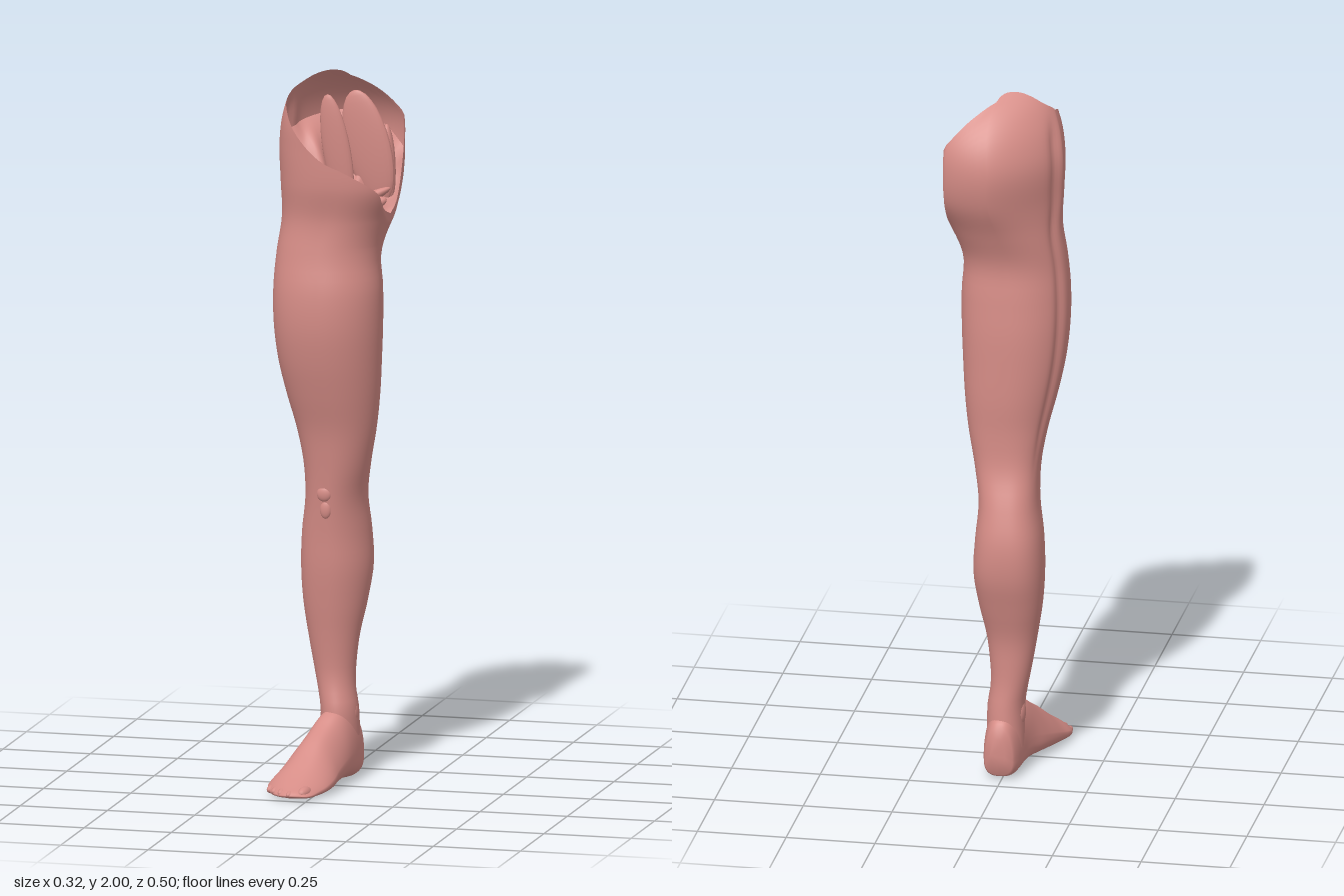
import * as THREE from 'three';

const V = (x, y, z) => new THREE.Vector3(x, y, z);
const { smoothstep, lerp, clamp } = THREE.MathUtils;
const COLS = 96;
const TAU = Math.PI * 2;
const skin = new THREE.MeshStandardMaterial({ color: 0xd58c86, side: THREE.DoubleSide });

// Leg sections: height, outer x, inner x, front z, back z, squareness
const LEG = [
  [0.08, -0.05, 0.055, -0.05, -0.19, 2.1], [0.2, -0.05, 0.053, -0.045, -0.18, 2.1],
  [0.25, -0.058, 0.045, -0.055, -0.175, 2.1], [0.3, -0.068, 0.044, -0.06, -0.174, 2.1],
  [0.4, -0.085, 0.055, -0.05, -0.18, 2.2], [0.5, -0.1, 0.075, -0.035, -0.207, 2.4],
  [0.6, -0.106, 0.088, -0.022, -0.233, 2.5], [0.7, -0.102, 0.083, -0.015, -0.235, 2.5],
  [0.8, -0.088, 0.077, -0.004, -0.21, 2.5], [0.9, -0.088, 0.094, 0.01, -0.176, 2.5],
  [1.0, -0.105, 0.113, 0.027, -0.17, 2.5], [1.1, -0.13, 0.125, 0.055, -0.175, 2.5],
  [1.2, -0.15, 0.132, 0.08, -0.176, 2.5], [1.3, -0.16, 0.137, 0.095, -0.175, 2.5],
  [1.4, -0.161, 0.138, 0.094, -0.168, 2.5], [1.5, -0.154, 0.133, 0.077, -0.163, 2.5],
  [1.6, -0.143, 0.165, 0.07, -0.195, 2.5], [1.7, -0.148, 0.215, 0.088, -0.238, 2.5],
  [1.8, -0.152, 0.22, 0.092, -0.252, 2.5], [1.88, -0.142, 0.22, 0.092, -0.23, 2.5],
  [1.95, -0.12, 0.19, 0.07, -0.175, 2.4], [2.0, -0.1, 0.14, 0.04, -0.105, 2.3],
];

// Height of the open upper rim by angle in degrees (0 inner, 90 front, 180 outer)
const RIM = [
  [0, 1.61], [30, 1.64], [52, 1.69], [90, 1.76], [120, 1.84], [145, 1.9], [165, 1.925], [180, 1.94],
  [200, 1.96], [220, 1.985], [235, 1.997], [250, 2], [265, 1.99], [285, 1.94], [300, 1.885],
  [308, 1.855], [318, 1.77], [335, 1.65], [360, 1.61],
];

// Foot sections: z, outer x, inner x, sole y, top y
const FOOT = [
  [-0.208, -0.012, 0.03, 0.05, 0.12], [-0.203, -0.028, 0.043, 0.02, 0.145],
  [-0.18, -0.04, 0.053, 0.004, 0.17], [-0.14, -0.048, 0.058, 0, 0.19],
  [-0.09, -0.056, 0.058, 0.004, 0.2], [-0.05, -0.068, 0.055, 0.008, 0.197],
  [0, -0.09, 0.05, 0.008, 0.165], [0.05, -0.108, 0.046, 0.005, 0.135],
  [0.1, -0.122, 0.045, 0.002, 0.1], [0.15, -0.133, 0.036, 0.001, 0.068],
  [0.19, -0.12, 0.022, 0.002, 0.046], [0.22, -0.098, 0.012, 0.004, 0.032],
  [0.24, -0.075, 0, 0.008, 0.024], [0.248, -0.055, -0.012, 0.012, 0.018],
];

// Smooth interpolation of a table by its first column
function sample(table, k) {
  const n = table.length - 1;
  let i = 0;
  while (i < n - 1 && k > table[i + 1][0]) i++;
  const A = table[i], B = table[i + 1], P = table[Math.max(i - 1, 0)], N = table[Math.min(i + 2, n)];
  const d = B[0] - A[0], t = clamp((k - A[0]) / d, 0, 1), t2 = t * t, t3 = t2 * t;
  return A.map((a, c) => {
    const mA = (B[c] - P[c]) / (B[0] - P[0]) * d, mB = (N[c] - a) / (N[0] - A[0]) * d;
    return a * (2 * t3 - 3 * t2 + 1) + mA * (t3 - 2 * t2 + t) + B[c] * (3 * t2 - 2 * t3) + mB * (t3 - t2);
  });
}

const power = (v, e) => Math.sign(v) * Math.abs(v) ** e;

// Point on the leg surface; the inner side is cut flat at x = 0.16
function legPoint(a, y, scale = 1) {
  const [, xl, xr, zf, zb, square] = sample(LEG, y);
  const cx = (xl + xr) / 2, cz = (zf + zb) / 2;
  const thigh = smoothstep(y, 0.85, 1.1), hip = smoothstep(y, 1.5, 1.7);
  // rounder at the front inner corner, sloping at the back outer corner
  let p = square;
  if (Math.sin(a) > 0 && Math.cos(a) > 0) p = lerp(1.95, square, hip);
  else if (Math.sin(a) < 0 && Math.cos(a) < 0) p = lerp(lerp(square, 2.05, thigh), 1.45, hip);
  // groove between the outer thigh and the muscles behind it
  const groove = 0.06 * thigh * Math.exp(-(((a - lerp(3.6, 3.45, hip)) / 0.12) ** 2));
  const s = scale * (1 - groove * (1 - smoothstep(y, 1.85, 1.95)));
  const x = cx + (xr - xl) / 2 * s * power(Math.cos(a), 2 / p);
  const z = cz + (zf - zb) / 2 * s * power(Math.sin(a), 2 / p);
  return V(Math.min(x, 0.16), y, z);
}

// Skin a grid of closed rings, optionally closing both ends
function loft(name, rings, point, caps = false) {
  const pos = [], idx = [];
  for (let i = 0; i <= rings; i++)
    for (let j = 0; j < COLS; j++) pos.push(...point(i / rings, j / COLS * TAU).toArray());
  for (let i = 0; i < rings; i++)
    for (let j = 0; j < COLS; j++) {
      const k = (j + 1) % COLS, a = i * COLS + j, b = i * COLS + k;
      idx.push(a, a + COLS, b, b, a + COLS, b + COLS);
    }
  if (caps)
    for (let j = 1; j < COLS - 1; j++) {
      const e = rings * COLS;
      idx.push(0, j, j + 1, e, e + j + 1, e + j);
    }
  const g = new THREE.BufferGeometry();
  g.setAttribute('position', new THREE.Float32BufferAttribute(pos, 3));
  g.setIndex(idx);
  g.computeVertexNormals();
  const m = new THREE.Mesh(g, skin);
  m.name = name;
  return m;
}

function bump(name, x, y, z, rx, ry, rz, turn = 0) {
  const m = new THREE.Mesh(new THREE.SphereGeometry(1, 20, 14), skin);
  m.position.set(x, y, z);
  m.scale.set(rx, ry, rz);
  m.rotation.y = turn;
  m.name = name;
  return m;
}

// Spindle-shaped muscle between two points
function muscle(from, to, wide, thin) {
  const dir = to.clone().sub(from);
  const m = bump('innerMuscle', 0, 0, 0, wide, dir.length() / 2, thin);
  m.position.copy(from).add(to).multiplyScalar(0.5);
  m.quaternion.setFromUnitVectors(V(0, 1, 0), dir.normalize());
  return m;
}

export function createModel() {
  const model = new THREE.Group();
  model.name = 'leg';
  const rimAt = a => sample(RIM, a * 360 / TAU)[1];
  const split = 0.72, hip = 1.52;

  // thigh, knee and calf, rising to the slanted open rim
  model.add(loft('legSkin', 84, (t, a) => {
    const y = t < split
      ? lerp(0.08, hip, t / split)
      : lerp(hip, rimAt(a), (t - split) / (1 - split));
    return legPoint(a, y);
  }));

  // torn, folded tissue closing the inside of the hip
  model.add(loft('innerTissue', 20, (t, a) => {
    const p = legPoint(a, lerp(hip, rimAt(a), 0.72), 0.985);
    p.lerp(V(0.02, 1.6, -0.05), t);
    p.y += (0.02 * Math.sin(a * 9) + 0.012 * Math.sin(a * 5 + t * 6)) * Math.sin(t * Math.PI);
    return p;
  }));

  // muscles radiating to the cut edge
  const core = V(-0.06, 1.57, -0.03);
  [[0.145, 1.69, 0.045], [0.15, 1.665, 0.01], [0.15, 1.65, -0.06], [0.145, 1.67, -0.12],
    [0.06, 1.73, 0.06], [-0.04, 1.79, 0.06], [-0.1, 1.84, 0.02]].forEach(([x, y, z], i) =>
    model.add(muscle(core, V(x, y, z), 0.018 + 0.005 * (i % 3), 0.026)));

  // broad sheets against the back wall
  model.add(muscle(V(0.115, 1.62, -0.14), V(0.04, 1.94, -0.125), 0.065, 0.018));
  model.add(muscle(V(0.135, 1.62, -0.15), V(0.12, 1.84, -0.17), 0.02, 0.025));
  model.add(muscle(V(0.02, 1.6, -0.12), V(-0.03, 1.93, -0.095), 0.04, 0.016));

  // kneecap
  model.add(bump('kneecap', -0.015, 0.82, -0.006, 0.021, 0.022, 0.01));
  model.add(bump('kneeTendon', -0.012, 0.775, -0.01, 0.016, 0.026, 0.009));

  // foot
  model.add(loft('foot', 52, (t, a) => {
    const [z, xl, xr, y0, y1] = sample(FOOT, lerp(-0.208, 0.248, t));
    const c = Math.cos(a), s = -Math.sin(a);
    // narrower over the instep, flat on the sole
    const narrow = s > 0 ? 1 - 0.3 * s * smoothstep(z, -0.1, 0.05) : 1;
    const low = y0 + (y1 - y0) * 0.35;
    const y = s > 0 ? low + (y1 - low) * s : low + (low - y0) * power(s, 0.6);
    return V((xl + xr) / 2 + (xr - xl) / 2 * power(c, 0.8) * narrow, y, z);
  }, true));

  // toes, from the big toe outward
  [[-0.012, 0.212, 0.016], [-0.046, 0.22, 0.012], [-0.073, 0.205, 0.013],
    [-0.096, 0.187, 0.013], [-0.115, 0.165, 0.013]].forEach(([x, z, r]) =>
    model.add(bump('toe', x, r + 0.004, z, r, r, 0.031, -0.2)));

  // ankle bones
  model.add(bump('innerAnkle', 0.036, 0.185, -0.11, 0.019, 0.04, 0.03));
  model.add(bump('outerAnkle', -0.037, 0.175, -0.12, 0.017, 0.04, 0.028));
  return model;
}
